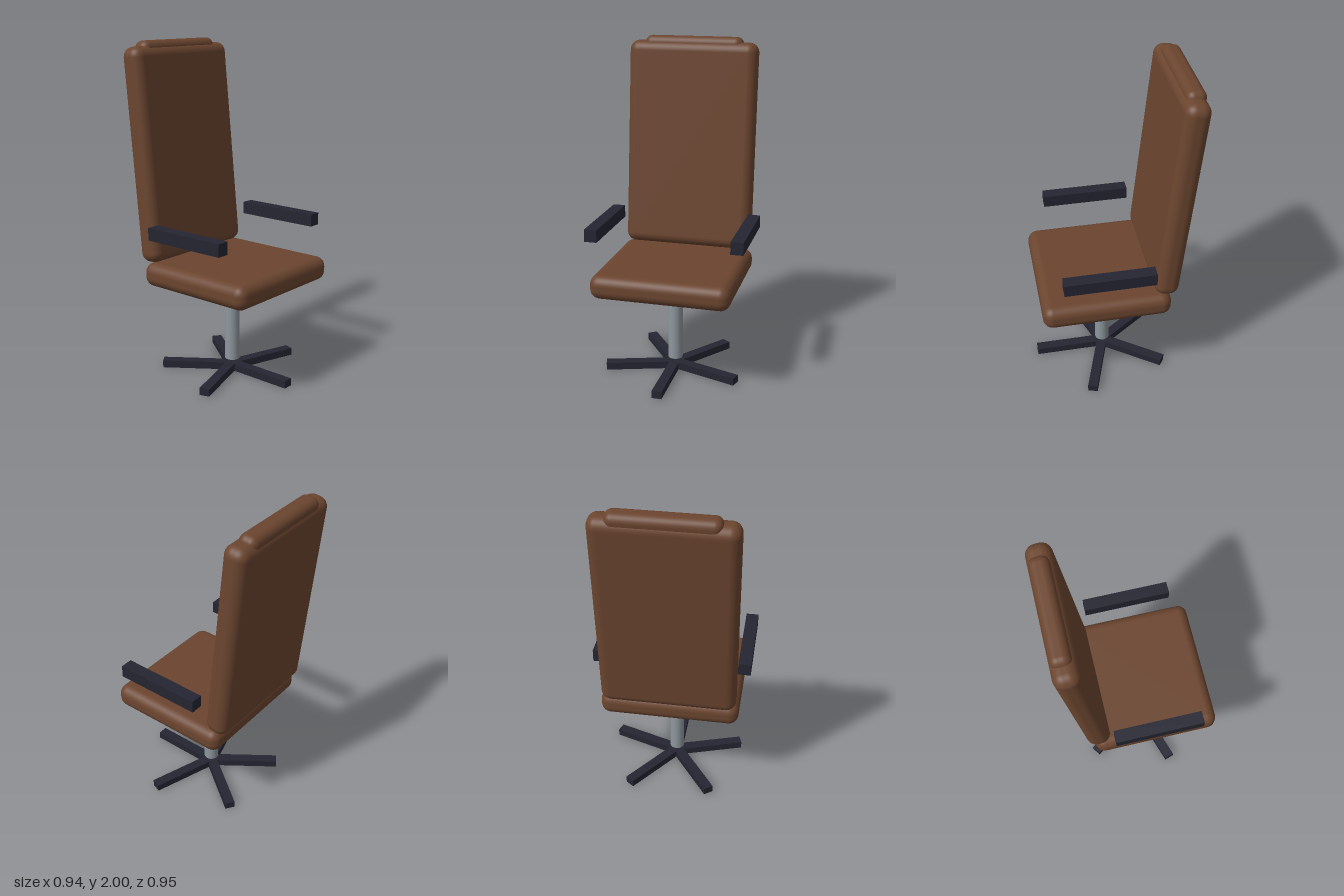
import * as THREE from 'three';
import { RoundedBoxGeometry } from 'three/addons/geometries/RoundedBoxGeometry.js';

export function createModel() {
  const leather = new THREE.MeshStandardMaterial({ color: 0x6b452f });
  leather.name = 'brown leather';
  const plastic = new THREE.MeshStandardMaterial({ color: 0x252532 });
  plastic.name = 'dark plastic';
  const steel = new THREE.MeshStandardMaterial({ color: 0x8e979e });
  steel.name = 'grey steel';

  const chair = new THREE.Group();
  chair.name = 'officeChair';
  const add = (name, geometry, material, x, y, z) => {
    const mesh = new THREE.Mesh(geometry, material);
    mesh.name = name;
    mesh.position.set(x, y, z);
    chair.add(mesh);
    return mesh;
  };
  const cushion = (w, h, d, r) => new RoundedBoxGeometry(w, h, d, 5, r);

  // Upholstery: seat, leaning back and headrest roll
  const lean = -0.1;
  add('seat', cushion(0.83, 0.145, 0.77, 0.06), leather, 0, 0.6375, 0.075);
  add('backrest', cushion(0.8, 1.27, 0.145, 0.06), leather, 0, 1.337, -0.341).rotation.x = lean;
  add('headrest', cushion(0.61, 0.13, 0.115, 0.045), leather, 0, 1.935, -0.407).rotation.x = lean;

  // Floating armrests
  for (const [name, side] of [['leftArmrest', 1], ['rightArmrest', -1]]) {
    add(name, new THREE.BoxGeometry(0.075, 0.075, 0.535), plastic, side * 0.432, 0.917, 0.073);
  }

  // Central column, ending just above the base
  const hubZ = 0.045;
  add('column', new THREE.CylinderGeometry(0.045, 0.045, 0.51, 24), steel, 0, 0.325, hubZ);

  // Five-spoke base, one spoke pointing forward
  const spoke = new THREE.BoxGeometry(0.06, 0.045, 0.43).translate(0, 0, 0.215);
  for (let i = 0; i < 5; i++) {
    add('baseSpoke' + (i + 1), spoke, plastic, 0, 0.0225, hubZ).rotation.y = (i * Math.PI * 2) / 5;
  }
  return chair;
}
